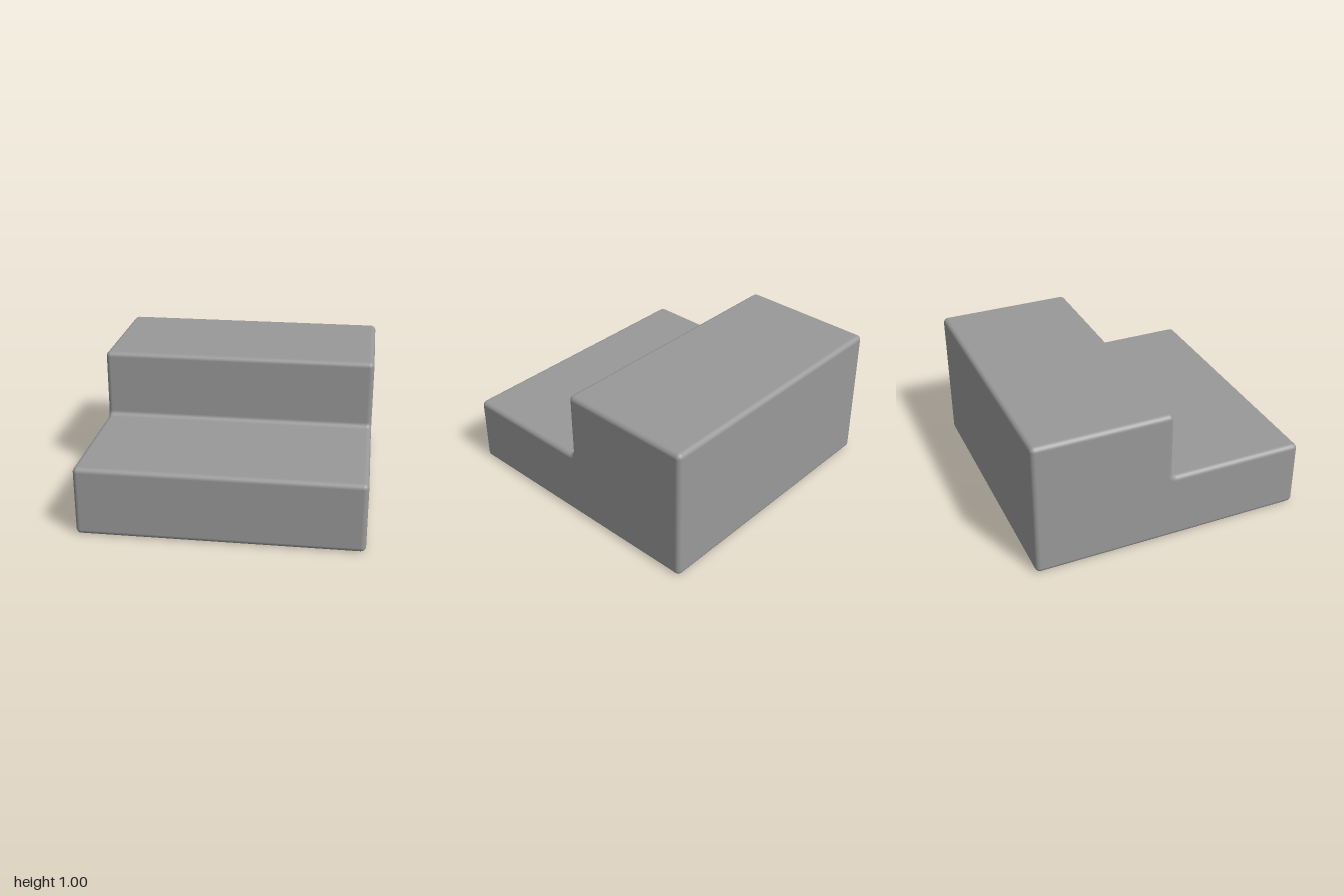
import * as THREE from 'three';

const R = 0.035; // edge rounding
const N = 5;     // segments per rounded edge

// Side outline, counter-clockwise seen from +x, as points with outward normals (u = -z)
function stepOutline() {
  // corner u, y, start angle in quarter turns, sign (-1 for the inner corner)
  const corners = [
    [-1, 0, 2, 1], [1, 0, 3, 1], [1, 1, 0, 1],
    [0, 1, 1, 1], [0, 0.5, 2, -1], [-1, 0.5, 1, 1],
  ];
  const outline = [];
  for (const [u, y, quarter, sign] of corners) {
    // centre of the corner arc: inside the block, or in the open air for the inner corner
    const mid = (quarter + sign / 2) * Math.PI / 2;
    const cu = u - sign * R * Math.sign(Math.cos(mid));
    const cy = y - sign * R * Math.sign(Math.sin(mid));
    for (let i = 0; i <= N; i++) {
      const a = (quarter + sign * i / N) * Math.PI / 2;
      const nu = Math.cos(a), ny = Math.sin(a);
      outline.push({ u: cu + sign * R * nu, y: cy + sign * R * ny, nu, ny });
    }
  }
  return outline;
}

// Sweep the outline along x, insetting it at both ends to round the side edges
function steppedBlockGeometry() {
  const outline = stepOutline(), count = outline.length;
  const positions = [], normals = [], index = [], rings = [];
  for (const side of [-1, 1]) {
    for (let i = 0; i <= N; i++) {
      const a = (side < 0 ? i / N - 1 : i / N) * Math.PI / 2;
      const c = Math.cos(a), s = Math.sin(a), inset = R * (1 - c);
      const ring = [];
      for (const p of outline) {
        const u = p.u - p.nu * inset, y = p.y - p.ny * inset;
        ring.push(new THREE.Vector2(u, y));
        positions.push(side * (1 - R) + R * s, y, -u);
        normals.push(s, p.ny * c, -p.nu * c);
      }
      rings.push(ring);
    }
  }
  for (let k = 0; k < rings.length - 1; k++) {
    for (let j = 0; j < count; j++) {
      const a = k * count + j, b = k * count + (j + 1) % count;
      index.push(a, b, a + count, b, b + count, a + count);
    }
  }
  // flat side faces
  const last = (rings.length - 1) * count;
  for (const [a, b, c] of THREE.ShapeUtils.triangulateShape(rings[rings.length - 1], [])) {
    index.push(last + a, last + b, last + c, a, c, b);
  }
  const geometry = new THREE.BufferGeometry();
  geometry.setAttribute('position', new THREE.Float32BufferAttribute(positions, 3));
  geometry.setAttribute('normal', new THREE.Float32BufferAttribute(normals, 3));
  geometry.setIndex(index);
  return geometry;
}

export function createModel() {
  const group = new THREE.Group();
  group.name = 'steps';
  const material = new THREE.MeshStandardMaterial({ color: 0x999999 });
  const block = new THREE.Mesh(steppedBlockGeometry(), material);
  block.name = 'steppedBlock';
  group.add(block);
  return group;
}
